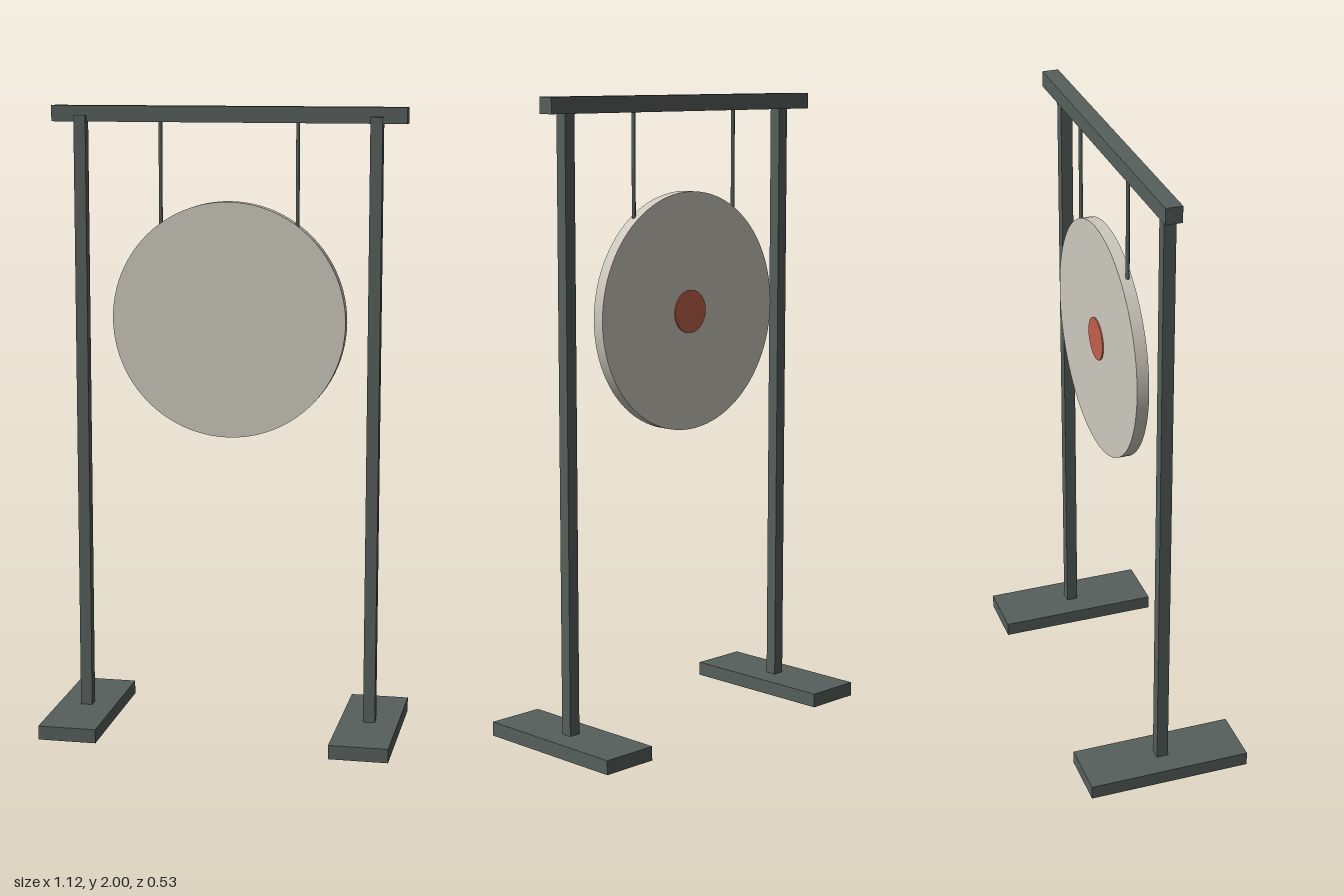
import * as THREE from 'three';

export function createModel() {
  const group = new THREE.Group();
  const mat = (name, color) => {
    const m = new THREE.MeshStandardMaterial({ color });
    m.name = name;
    return m;
  };
  const frame = mat('dark grey-green', 0x56605c);
  const disc = mat('pale stone', 0xcdc9be);
  const red = mat('brick red', 0xc2604a);

  const add = (name, geometry, material, x, y, z) => {
    const mesh = new THREE.Mesh(geometry, material);
    mesh.name = name;
    mesh.position.set(x, y, z);
    group.add(mesh);
    return mesh;
  };
  const box = (name, w, h, d, x, y, z) =>
    add(name, new THREE.BoxGeometry(w, h, d), frame, x, y, z);

  // Top beam, set slightly behind the posts
  box('crossBeam', 1.125, 0.05, 0.052, 0, 1.975, -0.017);

  // Mirrored feet, posts and hanging rods
  for (const [side, s] of [['left', 1], ['right', -1]]) {
    box(side + 'Foot', 0.188, 0.045, 0.527, s * 0.468, 0.0225, 0);
    box(side + 'Post', 0.038, 1.927, 0.037, s * 0.469, 1.0065, 0);
    add(side + 'HangingRod', new THREE.CylinderGeometry(0.006, 0.006, 0.325, 16),
      frame, s * 0.219, 1.7925, -0.03);
  }

  // Round plate hung from the beam
  const plate = new THREE.CylinderGeometry(0.375, 0.375, 0.038, 96).rotateX(Math.PI / 2);
  add('discPlate', plate, disc, 0, 1.328, -0.035);

  // Centre spot on the back of the plate
  const spot = new THREE.CylinderGeometry(0.068, 0.068, 0.006, 48).rotateX(Math.PI / 2);
  add('centreSpot', spot, red, 0, 1.328, -0.055);

  return group;
}
